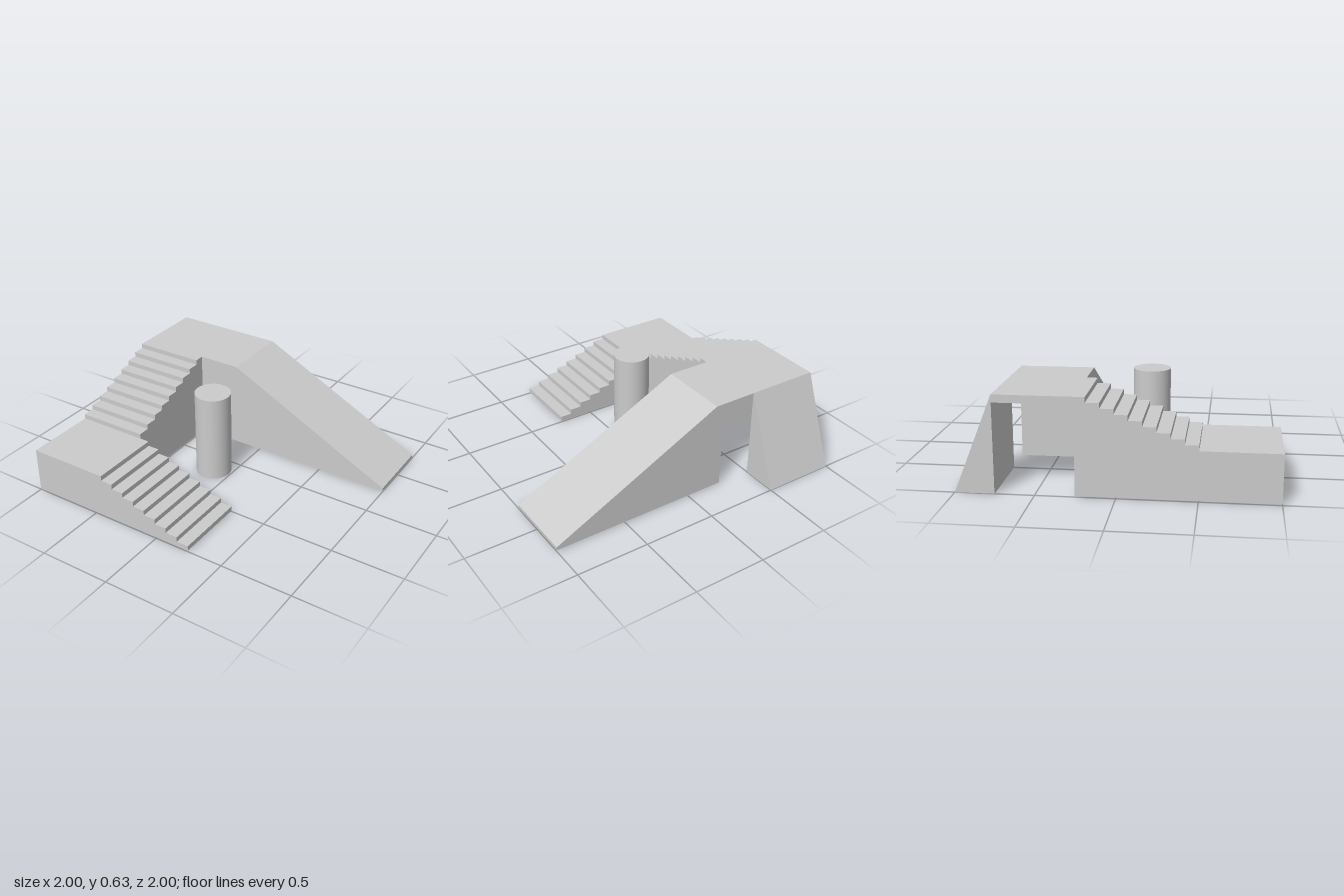
import * as THREE from 'three';

const BASE = 0.008, TOP = 0.63, LANDING = 0.32;
const TREAD = 0.085;

export function createModel() {
  const group = new THREE.Group();
  const material = new THREE.MeshStandardMaterial({ color: 0xcccccc });

  const add = (name, geometry, x = 0, y = 0, z = 0) => {
    const mesh = new THREE.Mesh(geometry, material);
    mesh.name = name;
    mesh.position.set(x, y, z);
    group.add(mesh);
  };

  // Prism from a side profile, extruded along z
  const prism = (points, depth) => new THREE.ExtrudeGeometry(
    new THREE.Shape(points.map(([u, v]) => new THREE.Vector2(u, v))),
    { depth, bevelEnabled: false });

  // Lower flight with its landing, descending towards +x
  const lower = [[-1, BASE], [0.25, BASE]];
  const lowerRise = (LANDING - BASE) / 9;
  for (let i = 1; i <= 8; i++) {
    const y = BASE + i * lowerRise;
    lower.push([0.25 - (i - 1) * TREAD, y], [0.25 - i * TREAD, y]);
  }
  lower.push([0.25 - 8 * TREAD, LANDING], [-1, LANDING]);
  add('lowerStairsAndLanding', prism(lower, 0.5), 0, 0, 0.5);

  // Upper flight, climbing towards the back (profile runs along z)
  const upper = [[-0.25, BASE], [0.5, BASE]];
  const upperRise = (TOP - LANDING) / 9;
  for (let i = 1; i <= 9; i++) {
    const y = LANDING + i * upperRise;
    upper.push([0.5 - (i - 1) * TREAD, y], [Math.max(0.5 - i * TREAD, -0.25), y]);
  }
  add('upperStairs', prism(upper, 0.5).rotateY(-Math.PI / 2), -0.5);

  // Thin bridge slab
  add('platform', new THREE.BoxGeometry(0.75, 0.05, 0.5), -0.625, TOP - 0.025, -0.5);

  // Long ramp with a short flat top and a blunt toe
  add('longRamp', prism([[-0.255, BASE], [1, BASE], [1, 0.03], [-0.2, TOP], [-0.255, TOP]], 0.5), 0, 0, -0.75);

  // Steep ramp behind the platform
  add('steepRamp', prism([[-1, 0], [-0.75, 0], [-0.75, TOP]], 0.5).rotateY(-Math.PI / 2), -0.5);

  // Free-standing column
  add('column', new THREE.CylinderGeometry(0.125, 0.125, 0.625, 48), -0.137, 0.3125, 0.14);

  return group;
}
